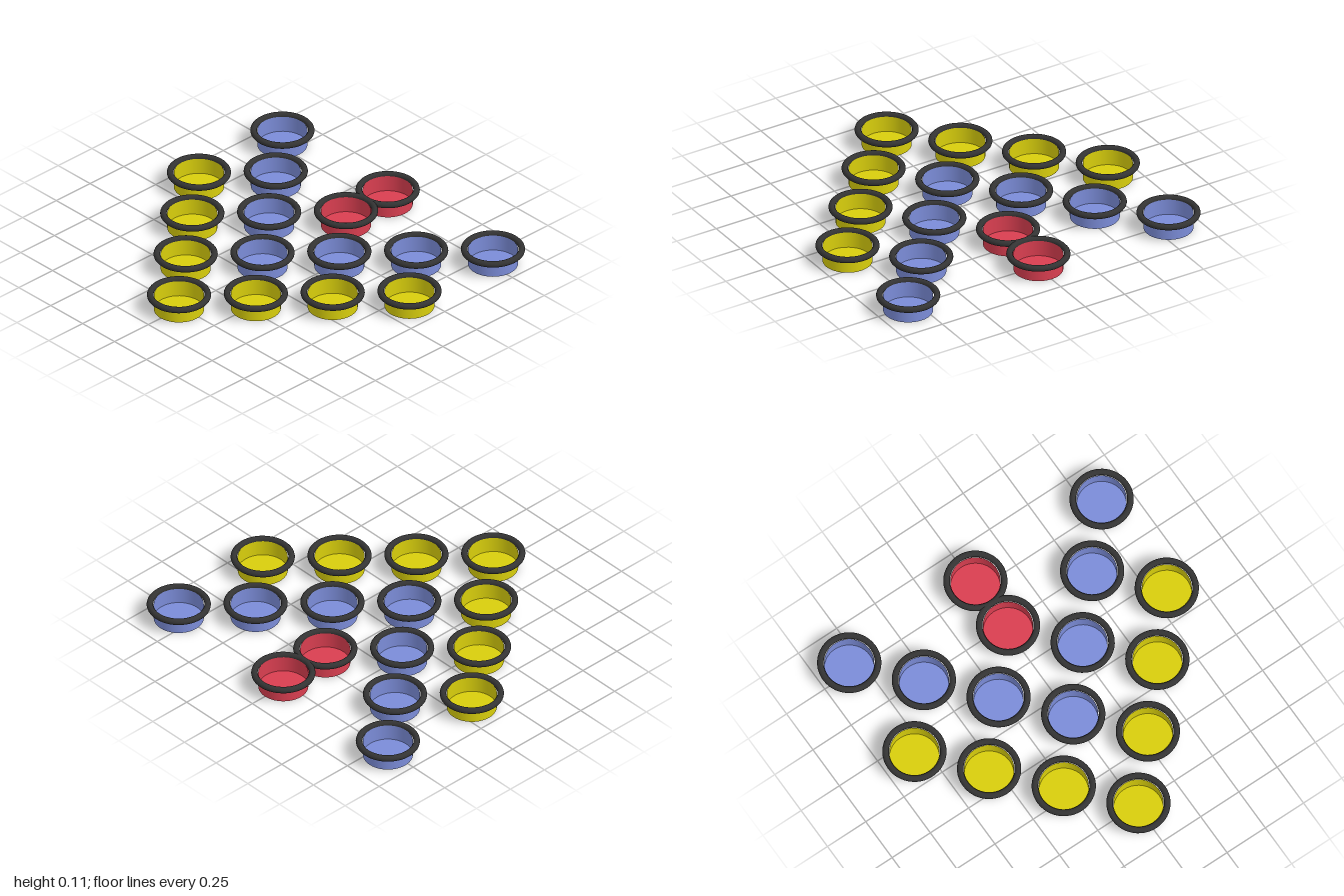
import * as THREE from 'three';

export function createModel() {
  const model = new THREE.Group();
  const mat = (name, color, side = THREE.FrontSide) => {
    const m = new THREE.MeshStandardMaterial({ color, side });
    m.name = name;
    return m;
  };
  const yellow = mat('yellow', 0xd8ce0c, THREE.DoubleSide);
  const blue = mat('blue', 0x7b8cd8, THREE.DoubleSide);
  const red = mat('red', 0xd93e50, THREE.DoubleSide);
  const black = mat('black', 0x333333);

  const radius = 0.135, wallTop = 0.092;
  const stepX = 0.275, stepZ = 0.309;

  // Shared shapes: open cup wall, flat floor, round rim
  const wallGeo = new THREE.CylinderGeometry(radius, radius, wallTop, 40, 1, true)
    .translate(0, wallTop / 2, 0);
  const floorGeo = new THREE.CircleGeometry(radius, 40).rotateX(Math.PI / 2);
  const rimGeo = new THREE.TorusGeometry(0.1555, 0.0175, 14, 48)
    .rotateX(Math.PI / 2).translate(0, 0.0918, 0);

  function addCup(name, material, column, row) {
    const cup = new THREE.Group();
    cup.name = name;
    const parts = [['wall', wallGeo, material], ['floor', floorGeo, material], ['rim', rimGeo, black]];
    for (const [part, geo, m] of parts) {
      const mesh = new THREE.Mesh(geo, m);
      mesh.name = part;
      cup.add(mesh);
    }
    cup.position.set(column * stepX, 0, (row - 2.5) * stepZ);
    model.add(cup);
  }

  // Nested chevrons: yellow outside, blue inside, each pointing to the front
  for (let c = -3; c <= 3; c++) {
    addCup('blueCup', blue, c, 3 - Math.abs(c));
    addCup('yellowCup', yellow, c, 5 - Math.abs(c));
  }
  // Red pair in the middle at the back
  for (const row of [0, 1]) addCup('redCup', red, 0, row);

  return model;
}
